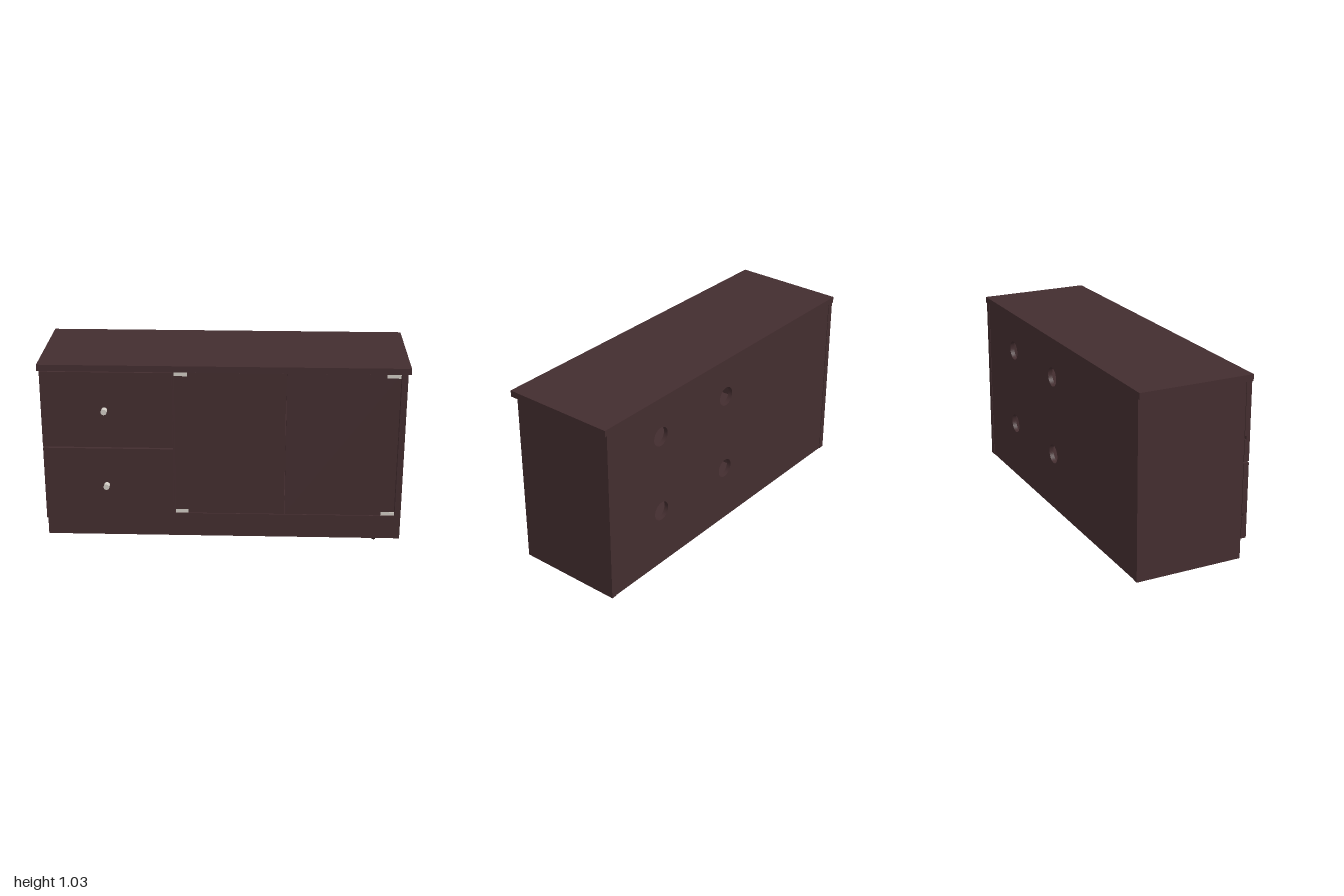
import * as THREE from 'three';

export function createModel() {
  const group = new THREE.Group();
  const mat = (name, color) => {
    const m = new THREE.MeshStandardMaterial({ color });
    m.name = name;
    return m;
  };
  const wood = mat('dark wood', 0x432d2f);
  const metal = mat('pale metal', 0xcfcac2);
  const rubber = mat('dark rubber', 0x2a1c1d);

  const add = (name, geometry, material = wood) => {
    const mesh = new THREE.Mesh(geometry, material);
    mesh.name = name;
    group.add(mesh);
    return mesh;
  };
  // Box given by its lower and upper limits on each axis
  const box = (name, x0, x1, y0, y1, z0, z1, material) => {
    const g = new THREE.BoxGeometry(x1 - x0, y1 - y0, z1 - z0);
    g.translate((x0 + x1) / 2, (y0 + y1) / 2, (z0 + z1) / 2);
    return add(name, g, material);
  };

  // Carcass
  const base = 0.012, under = 0.995, back = -0.34, front = 0.272;
  box('top', -1, 1, under, 1.03, back, 0.305);
  box('leftSide', 0.955, 0.988, base, under, back, front);
  box('rightSide', -0.988, -0.955, base, under, back, front);
  box('partition', -0.302, -0.27, 0.15, under, -0.315, front);
  box('floor', -0.955, 0.955, 0.12, 0.15, -0.315, front);
  box('kickBoard', -0.955, 0.955, base, 0.12, 0.24, front);
  box('shelf', -0.27, 0.955, 0.585, 0.615, -0.315, 0.24);
  box('drawerRail', -0.955, -0.302, 0.537, 0.569, 0.18, front);

  // Back panel with round cable holes
  const panel = new THREE.Shape();
  panel.moveTo(-0.955, base);
  panel.lineTo(0.955, base);
  panel.lineTo(0.955, under);
  panel.lineTo(-0.955, under);
  for (const x of [0.03, 0.58]) {
    for (const y of [0.345, 0.803]) {
      panel.holes.push(new THREE.Path().absarc(x, y, 0.054, 0, Math.PI * 2, true));
    }
  }
  const backGeo = new THREE.ExtrudeGeometry(panel, { depth: 0.025, bevelEnabled: false, curveSegments: 24 });
  backGeo.translate(0, 0, -0.337);
  add('backPanel', backGeo);

  // Inset doors
  box('doorInner', -0.266, 0.338, 0.153, 0.983, 0.241, 0.271);
  box('doorOuter', 0.342, 0.951, 0.153, 0.983, 0.241, 0.271);

  // Hinge plates at the outer door corners
  for (const [x0, x1] of [[-0.266, -0.196], [0.876, 0.951]]) {
    for (const y of [0.153, 0.963]) box('hingePlate', x0, x1, y, y + 0.021, 0.268, 0.273, metal);
  }

  // Drawer fronts, each with a groove along its rear face
  const drawerFront = (y0, y1, groove) => {
    const s = new THREE.Shape([
      [-0.305, y0], [-0.275, y0], [-0.275, groove], [-0.284, groove],
      [-0.284, groove + 0.02], [-0.275, groove + 0.02], [-0.275, y1], [-0.305, y1],
    ].map(([x, y]) => new THREE.Vector2(x, y)));
    const g = new THREE.ExtrudeGeometry(s, { depth: 0.713, bevelEnabled: false });
    g.rotateY(Math.PI / 2).translate(-0.988, 0, 0);
    add('drawerFront', g);
  };
  drawerFront(0.125, 0.55, 0.248);
  drawerFront(0.558, 0.991, 0.68);

  // Round knobs with a dip scooped out of the upper side
  const knobGeo = new THREE.CylinderGeometry(0.016, 0.016, 0.036, 24, 12);
  knobGeo.rotateX(Math.PI / 2);
  const p = knobGeo.attributes.position;
  for (let i = 0; i < p.count; i++) {
    const t = Math.min(1, Math.abs(p.getZ(i)) / 0.012);
    p.setY(i, Math.min(p.getY(i), 0.008 + 0.008 * t * t));
  }
  knobGeo.computeVertexNormals();
  for (const y of [0.333, 0.775]) add('knob', knobGeo, metal).position.set(-0.643, y, 0.323);

  // Small foot
  const foot = add('foot', new THREE.CylinderGeometry(0.011, 0.009, 0.013, 16), rubber);
  foot.position.set(0.845, 0.0065, 0.256);

  return group;
}
